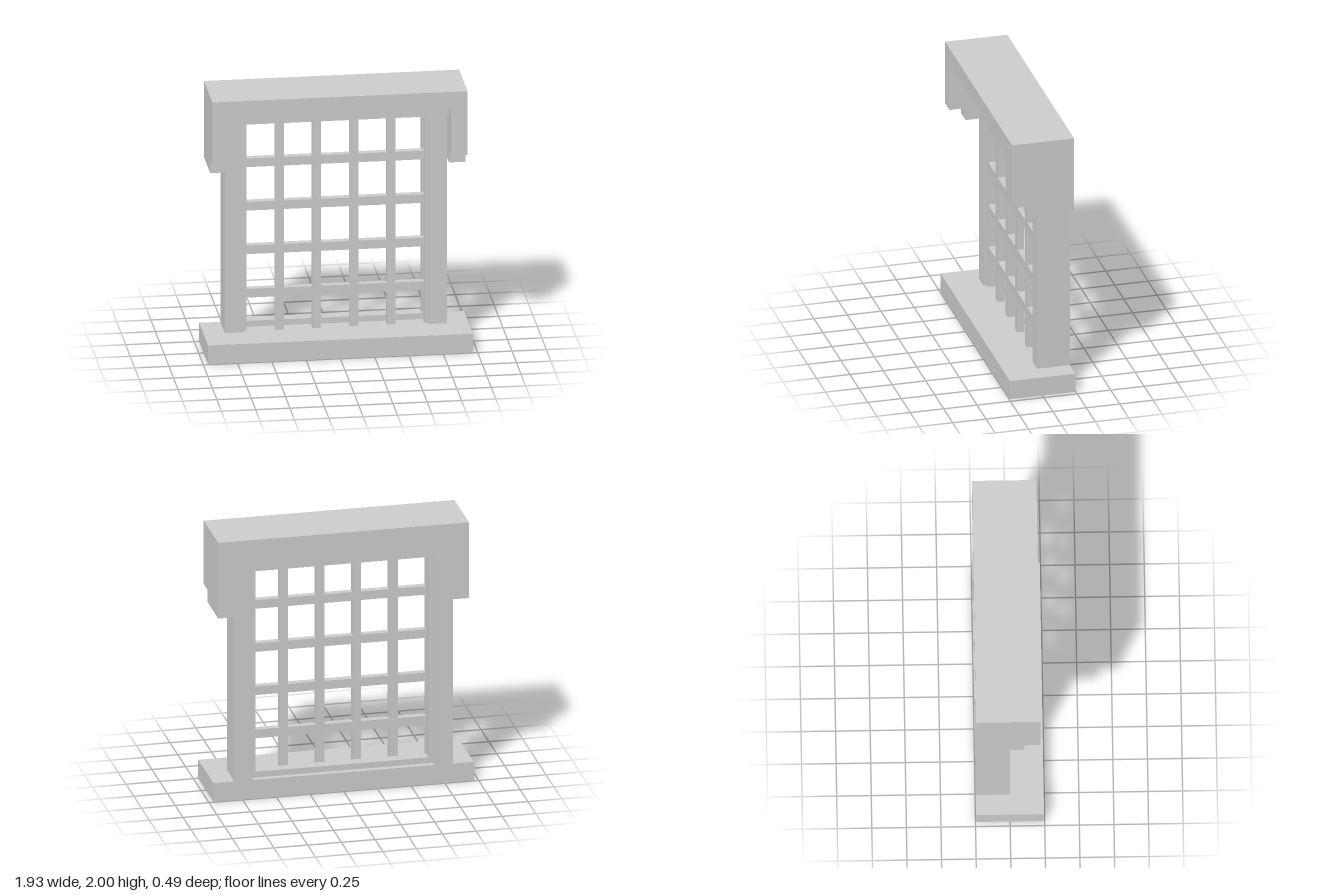
import * as THREE from 'three';

const material = new THREE.MeshStandardMaterial({ color: 0xcccccc });

// Box given by its limits on each axis
function block(name, x0, x1, y0, y1, z0, z1) {
  const mesh = new THREE.Mesh(new THREE.BoxGeometry(x1 - x0, y1 - y0, z1 - z0), material);
  mesh.position.set((x0 + x1) / 2, (y0 + y1) / 2, (z0 + z1) / 2);
  mesh.name = name;
  return mesh;
}

// Flat outline extruded between two depths
function slab(name, shape, z0, z1) {
  const geometry = new THREE.ExtrudeGeometry(shape, { depth: z1 - z0, bevelEnabled: false });
  const mesh = new THREE.Mesh(geometry.translate(0, 0, z0), material);
  mesh.name = name;
  return mesh;
}

const outline = (points) => new THREE.Shape(points.map(([x, y]) => new THREE.Vector2(x, y)));
const rectangle = (x, y0, y1) => outline([[-x, y0], [x, y0], [x, y1], [-x, y1]]);

// Upside-down U: a beam with two hanging ends
const arch = (outer, inner, bottom, soffit, top) => outline([
  [-outer, bottom], [-inner, bottom], [-inner, soffit], [inner, soffit],
  [inner, bottom], [outer, bottom], [outer, top], [-outer, top],
]);

export function createModel() {
  const model = new THREE.Group();
  model.name = 'barredWindow';

  // Sill
  model.add(block('sill', -0.965, 0.965, 0, 0.145, -0.245, 0.245));

  // Jambs
  for (const [side, name] of [[-1, 'rightJamb'], [1, 'leftJamb']]) {
    const jamb = block(name, -0.0675, 0.0675, 0.145, 1.775, -0.245, 0);
    jamb.position.x = side * 0.7425;
    model.add(jamb);
  }

  // Stepped hood: the front part stops higher than the rear part
  const hood = new THREE.Group();
  hood.name = 'hood';
  hood.add(slab('hoodRear', arch(0.93, 0.81, 1.415, 1.775, 2), -0.245, 0.1));
  hood.add(slab('hoodFront', arch(0.93, 0.81, 1.51, 1.87, 2), 0.1, 0.22));
  model.add(hood);

  // Narrow rebate frame behind the bars
  const rebate = rectangle(0.675, 0.145, 1.775);
  rebate.holes.push(rectangle(0.643, 0.19, 1.74));
  model.add(slab('rebateFrame', rebate, -0.2, -0.115));

  // Grille, with its outermost bars let into the surround
  const grille = new THREE.Group();
  grille.name = 'grille';
  for (let i = 0; i < 6; i++) {
    const x = -0.68 + i * 0.2715;
    grille.add(block('verticalBar', x - 0.031, x + 0.031, 0.14, 1.78, -0.08, -0.025));
  }
  for (let i = 1; i < 6; i++) {
    const y = 0.1 + i * 0.334;
    grille.add(block('horizontalBar', -0.68, 0.68, y - 0.033, y + 0.033, -0.079, -0.026));
  }
  model.add(grille);

  return model;
}
